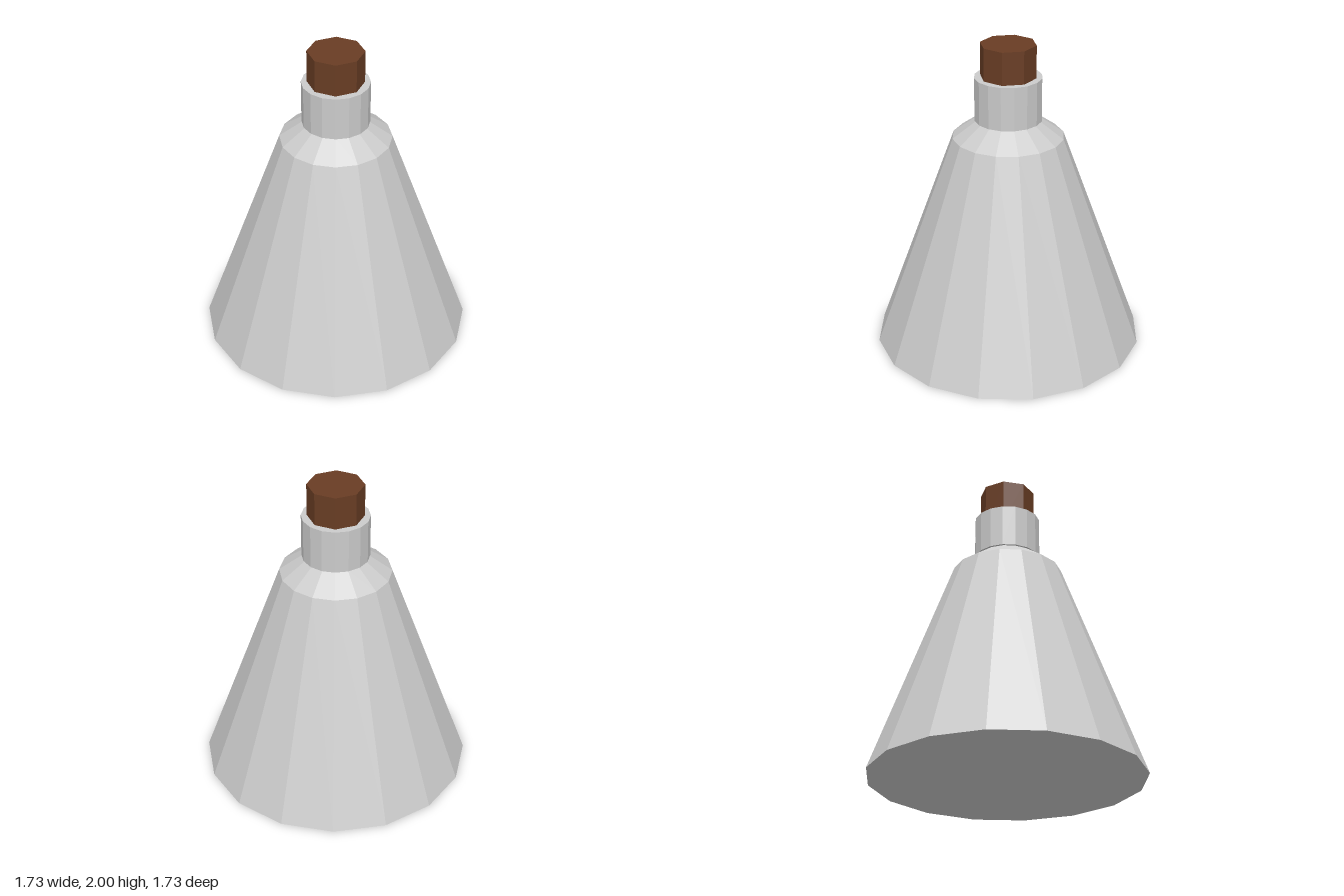
import * as THREE from 'three';

export function createModel() {
  const group = new THREE.Group();
  const glass = new THREE.MeshStandardMaterial({ color: 0xcccccc, flatShading: true });
  const cork = new THREE.MeshStandardMaterial({ color: 0x693d24, flatShading: true });

  const add = (name, geometry, material, y = 0) => {
    const mesh = new THREE.Mesh(geometry, material);
    mesh.name = name;
    mesh.position.y = y;
    group.add(mesh);
  };
  // Upright closed prism from y0 to y1
  const prism = (radius, y0, y1, sides) => new THREE.CylinderGeometry(radius, radius, y1 - y0, sides).translate(0, (y0 + y1) / 2, 0);

  // Conical flask body with bevelled shoulder
  const profile = [[0, 0], [0.865, 0], [0.353, 1.4], [0.2, 1.51], [0, 1.51]]
    .map(([r, y]) => new THREE.Vector2(r, y));
  add('body', new THREE.LatheGeometry(profile, 16), glass);

  // Neck, slightly wider than the shoulder opening
  add('neck', prism(0.213, 1.51, 1.79, 16), glass);

  // Octagonal stopper
  add('stopper', prism(0.177, 1.7, 2, 8), cork);

  return group;
}
